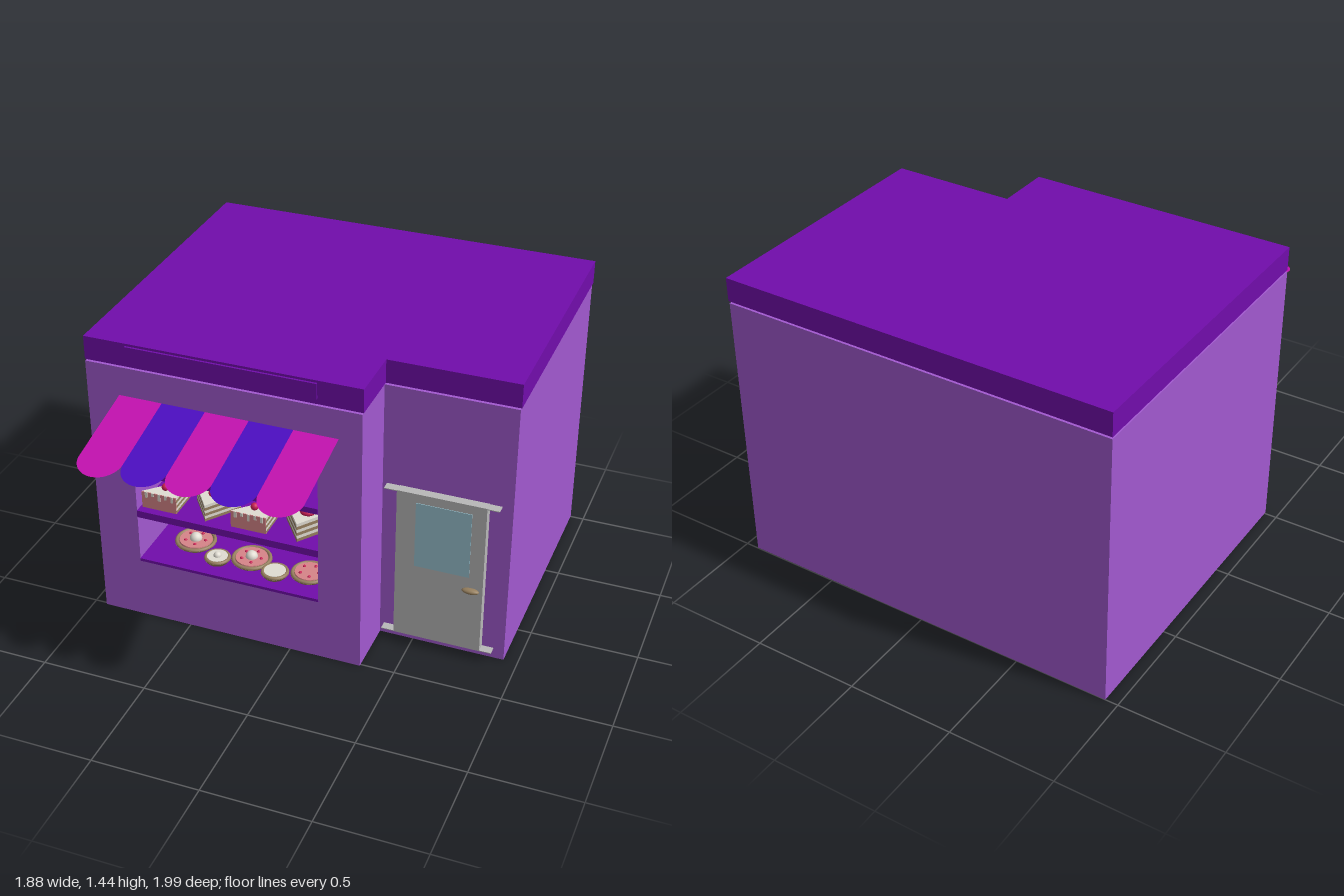
import * as THREE from 'three';

const mat = (name, color, side = THREE.FrontSide) => {
  const m = new THREE.MeshStandardMaterial({ color, side });
  m.name = name;
  return m;
};

export function createModel() {
  const shop = new THREE.Group();
  shop.name = 'bakeryShop';
  const wall = mat('wallPurple', 0xa259d0);
  const trim = mat('deepPurple', 0x710dab);
  const magenta = mat('awningMagenta', 0xc411b0, THREE.DoubleSide);
  const blue = mat('awningBlue', 0x4c0dc2, THREE.DoubleSide);
  const grey = mat('doorGrey', 0xb8b8b8);
  const glass = mat('glassBlue', 0x98c2cf);
  const tan = mat('bakedTan', 0x97805f);
  const red = mat('cherryRed', 0xcc1f55);
  const cream = mat('creamWhite', 0xe0dcd2);
  const pink = mat('icingPink', 0xd68488);

  const add = (parent, name, geo, material, x = 0, y = 0, z = 0) => {
    const m = new THREE.Mesh(geo, material);
    m.name = name;
    m.position.set(x, y, z);
    parent.add(m);
    return m;
  };
  // Box given by its min and max corners
  const box = (parent, name, material, [x0, x1], [y0, y1], [z0, z1]) =>
    add(parent, name, new THREE.BoxGeometry(x1 - x0, y1 - y0, z1 - z0), material,
      (x0 + x1) / 2, (y0 + y1) / 2, (z0 + z1) / 2);
  const polygon = (pts) => new THREE.Shape(pts.map(([x, y]) => new THREE.Vector2(x, y)));
  // Upright prism from a floor outline given as [x, z]
  const prism = (pts, height) =>
    new THREE.ExtrudeGeometry(polygon(pts.map(([x, z]) => [x, -z])), { depth: height, bevelEnabled: false })
      .rotateX(-Math.PI / 2);
  const group = (name, x, y, z) => {
    const g = new THREE.Group();
    g.name = name;
    g.position.set(x, y, z);
    shop.add(g);
    return g;
  };

  // Walls: rear block, front slab with display opening, side wing
  const backZ = 0.21, frontZ = 0.51, wallTop = 1.32;
  box(shop, 'mainWalls', wall, [-0.94, 0.34], [0, wallTop], [-1, backZ]);
  const front = polygon([[-0.94, 0], [0.34, 0], [0.34, wallTop], [-0.94, wallTop]]);
  front.holes.push(new THREE.Path([[-0.74, 0.31], [-0.74, 1.15], [0.14, 1.15], [0.14, 0.31]]
    .map(([x, y]) => new THREE.Vector2(x, y))));
  add(shop, 'frontWall', new THREE.ExtrudeGeometry(front, { depth: frontZ - backZ, bevelEnabled: false }),
    wall, 0, 0, backZ);
  box(shop, 'wingWalls', wall, [0.34, 0.935], [0.003, wallTop], [-1, 0.24]);

  // Roof slab and blank sign board
  add(shop, 'roof', prism([[-0.94, -1], [-0.94, 0.51], [0.345, 0.51], [0.345, 0.24], [0.94, 0.24], [0.94, -1]], 0.112),
    trim, 0, 1.329, 0);
  box(shop, 'signBoard', trim, [-0.74, 0.14], [1.355, 1.43], [0.5, 0.52]);

  // Display shelves
  for (const [y0, y1] of [[0.306, 0.32], [0.55, 0.585], [0.777, 0.805]])
    box(shop, 'shelf', trim, [-0.74, 0.14], [y0, y1], [backZ, 0.512]);

  // Awning of five round-ended strips
  const awning = group('awning', 0, 1.18, 0.51);
  awning.rotation.x = Math.PI / 2 + Math.atan2(0.11, 0.48);
  const w = 0.204, length = 0.492;
  for (let i = 0; i < 5; i++) {
    const s = new THREE.Shape();
    s.moveTo(0, 0);
    s.lineTo(w, 0);
    s.lineTo(w, length - w / 2);
    s.absarc(w / 2, length - w / 2, w / 2, 0, Math.PI, false);
    s.lineTo(0, 0);
    add(awning, 'awningStrip', new THREE.ShapeGeometry(s, 16), i % 2 ? blue : magenta, -0.785 + i * w, 0, 0);
  }

  // Door with glass, rails and knob
  box(shop, 'door', grey, [0.42, 0.83], [0.055, 0.83], [0.24, 0.283]);
  box(shop, 'doorGlass', glass, [0.51, 0.765], [0.45, 0.785], [0.28, 0.286]);
  for (const y of [0.056, 0.826])
    box(shop, 'doorRail', grey, [0.36, 0.885], [y - 0.002, y + 0.002], [0.24, 0.282]);
  add(shop, 'doorKnob', new THREE.SphereGeometry(1, 20, 12), tan, 0.777, 0.385, 0.293).scale.set(0.04, 0.013, 0.018);

  // Cupcakes with ridged frosting and a cherry
  const ridges = [[0.058, 0.066]];
  for (let i = 0; i < 6; i++) {
    const r = 0.062 - i * 0.0095, y = 0.07 + i * 0.0135;
    ridges.push([r, y], [r + 0.001, y + 0.007], [r - 0.007, y + 0.0125]);
  }
  ridges.push([0, 0.152]);
  const frosting = new THREE.LatheGeometry(ridges.map(([x, y]) => new THREE.Vector2(x, y)), 24);
  [[-0.62, 0.01], [-0.405, 0], [-0.205, 0], [-0.01, 0.01]].forEach(([x, dy]) => {
    const c = group('cupcake', x, 0.803 + dy, 0.39);
    add(c, 'cupcakeCase', new THREE.CylinderGeometry(0.058, 0.053, 0.07, 24), red, 0, 0.035, 0);
    add(c, 'frosting', frosting, tan);
    add(c, 'cherry', new THREE.SphereGeometry(0.011, 12, 8), red, 0, 0.154, 0);
  });

  // Layered cake slices: alternating sponge and cream
  const slice = (x, z, outline, height, layers) => {
    const s = group('cakeSlice', x, 0.585, z);
    const h = height / layers.length;
    layers.forEach((m, i) => add(s, 'cakeLayer', prism(outline, h), m, 0, i * h, 0));
    return s;
  };
  const corner = [[-0.085, 0.07], [0.085, 0.07], [0.085, -0.1]];
  for (const x of [-0.645, -0.207]) {
    const s = slice(x, 0.4, corner, 0.084, [tan, cream, tan, cream, tan, cream]);
    box(s, 'pinkIcing', pink, [-0.085, 0.085], [0, 0.084], [0.07, 0.074]);
    [0.03, 0.018, 0.036, 0.022, 0.03].forEach((d, i) => {
      const dx = -0.062 + i * 0.032;
      box(s, 'icingDrip', cream, [dx - 0.006, dx + 0.006], [0.086 - d, 0.086], [0.073, 0.077]);
    });
    add(s, 'cherry', new THREE.SphereGeometry(0.018, 14, 10), red, 0.01, 0.096, 0.02);
  }
  const wedge = [[-0.11, -0.06], [0, 0.09], [0.11, -0.06]];
  for (const [x, h] of [[-0.415, 0.085], [0.028, 0.094]]) {
    const s = slice(x, 0.39, wedge, h, [tan, cream, tan, cream, tan, cream]);
    add(s, 'berry', new THREE.SphereGeometry(1, 16, 10), red, 0.012, h + 0.008, -0.01).scale.set(0.036, 0.018, 0.03);
  }

  // Tarts and biscuits on the bottom shelf
  const tarts = [[-0.55, 0.31, 0.098, true], [-0.4, 0.4, 0.062, false], [-0.25, 0.35, 0.095, true],
    [-0.11, 0.41, 0.065, false], [0.04, 0.36, 0.088, true]];
  tarts.forEach(([x, z, r, iced]) => {
    const t = group('tart', x, 0.32, z);
    add(t, 'tartBase', new THREE.CylinderGeometry(r, r * 0.8, 0.018, 28), tan, 0, 0.009, 0);
    const rim = add(t, 'tartRim', new THREE.TorusGeometry(r - 0.009, 0.009, 8, 28), tan, 0, 0.02, 0);
    rim.rotation.x = Math.PI / 2;
    add(t, 'tartFilling', new THREE.CylinderGeometry(r * 0.78, r * 0.8, 0.008, 28), iced ? pink : cream, 0, 0.024, 0);
    if (x < 0 && r !== 0.065)
      add(t, 'creamDollop', new THREE.SphereGeometry(r * 0.3, 14, 10), cream, 0, 0.029, 0);
    if (iced) {
      for (let i = 0; i < 5; i++) {
        const a = i * Math.PI * 0.4;
        add(t, 'berry', new THREE.SphereGeometry(0.008, 10, 8), red, Math.cos(a) * r * 0.5, 0.027, Math.sin(a) * r * 0.5);
      }
    }
  });

  return shop;
}
